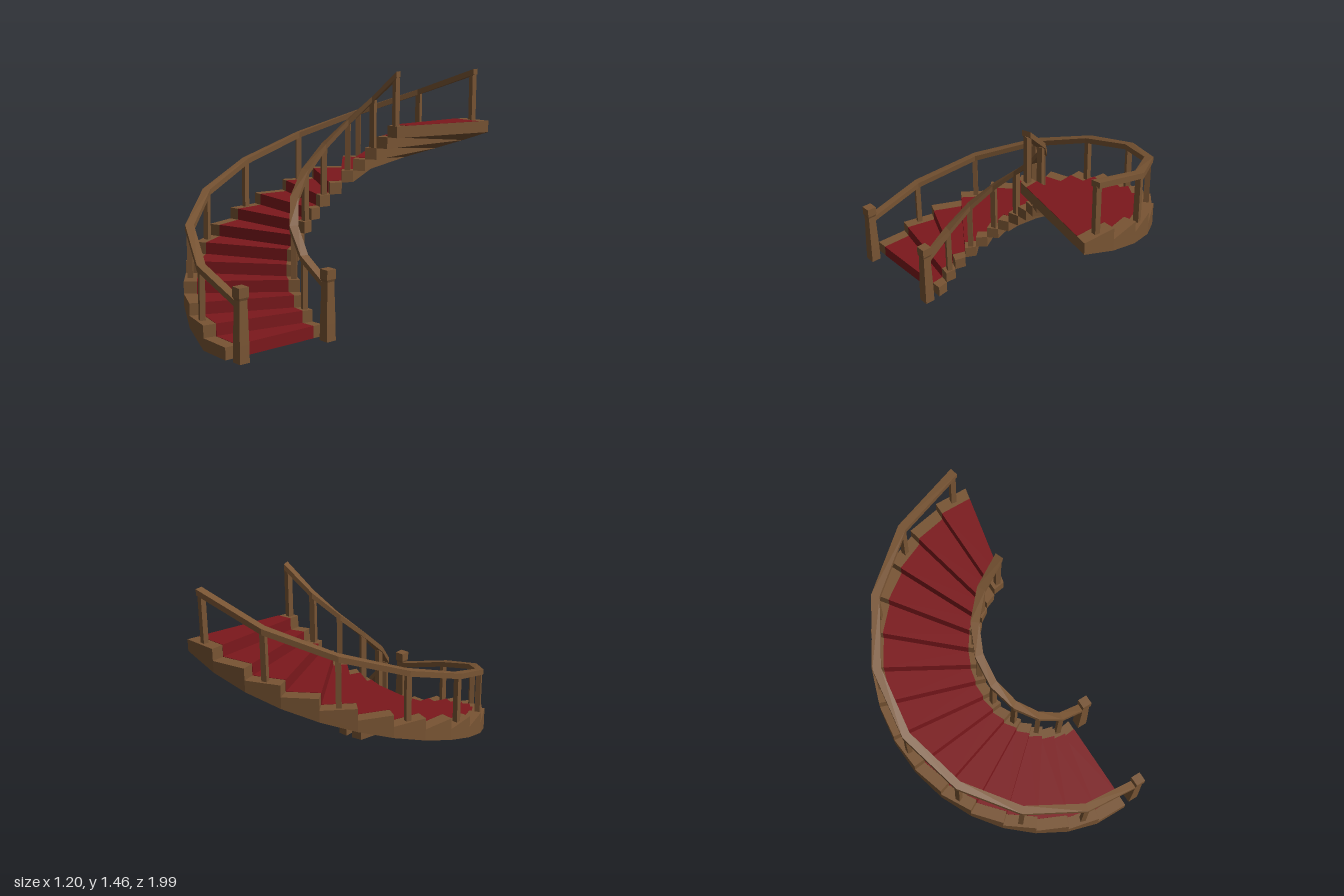
import * as THREE from 'three';

const STEPS = 16, RISE = 1.132 / STEPS, TURN = THREE.MathUtils.degToRad(12);
const CENTRE_X = 0.4, OFFSET = 0.09; // riser lines run parallel to the radius, shifted downhill
const R_IN = 0.33, R_OUT = 0.997;

const wood = new THREE.MeshStandardMaterial({ color: 0x785433 });
wood.name = 'wood';
const carpetRed = new THREE.MeshStandardMaterial({ color: 0x7c181c });
carpetRed.name = 'carpetRed';

// Point on the riser line of turn t (in steps), at distance r along it
function at(t, r, y, off = OFFSET) {
  const a = t * TURN, s = Math.sin(a), c = Math.cos(a);
  return new THREE.Vector3(CENTRE_X - r * s + off * c, y, r * c + off * s);
}

// Flat-faced solid through a series of four-cornered rings
function loft(rings) {
  const p = [];
  const quad = (a, b, c, d) => [a, b, c, a, c, d].forEach((v) => p.push(v.x, v.y, v.z));
  for (let i = 0; i + 1 < rings.length; i++) {
    const a = rings[i], b = rings[i + 1];
    for (let j = 0; j < 4; j++) {
      const k = (j + 1) % 4;
      quad(a[j], a[k], b[k], b[j]);
    }
  }
  const [s, e] = [rings[0], rings[rings.length - 1]];
  quad(s[3], s[2], s[1], s[0]);
  quad(e[0], e[1], e[2], e[3]);
  const g = new THREE.BufferGeometry();
  g.setAttribute('position', new THREE.Float32BufferAttribute(p, 3));
  g.computeVertexNormals();
  return g;
}

function add(parent, name, geometry, material) {
  const mesh = new THREE.Mesh(geometry, material);
  mesh.name = name;
  parent.add(mesh);
  return mesh;
}

// Upright section on a riser line, with its own underside height at each end
const section = (t, r0, r1, y0, y1, top, off) => [
  at(t, r0, y0, off), at(t, r1, y1, off), at(t, r1, top, off), at(t, r0, top, off)];

// Rectangular bar following a polyline, mitred at the corners
function bar(points, width, height) {
  const up = new THREE.Vector3(0, 1, 0);
  const side = (a, b) => up.clone().cross(b.clone().sub(a)).normalize();
  const last = points.length - 1;
  return loft(points.map((p, i) => {
    const s0 = side(points[Math.max(i - 1, 0)], points[Math.max(i, 1)]);
    const s1 = side(points[Math.min(i, last - 1)], points[Math.min(i + 1, last)]);
    const s = s0.clone().add(s1).normalize();
    const w = width / 2 / s.dot(s0), h = height / 2;
    return [[-w, -h], [w, -h], [w, h], [-w, h]].map(([u, v]) =>
      p.clone().addScaledVector(s, u).addScaledVector(up, v));
  }));
}

// Square post with a waist and a block head
function newel(x, z) {
  const profile = [[0, 0.032], [0.1, 0.031], [0.34, 0.025], [0.355, 0.031], [0.41, 0.031]];
  return loft(profile.map(([y, r]) => [[r, -r], [-r, -r], [-r, r], [r, r]].map(
    ([dx, dz]) => new THREE.Vector3(x + dx, y, z + dz))));
}

export function createModel() {
  const model = new THREE.Group();
  model.name = 'curvedStaircase';

  // Steps: flat beneath at the inner end, sloping to a continuous line at the outer end
  const stairs = new THREE.Group();
  stairs.name = 'stairs';
  model.add(stairs);
  for (let i = 0; i < STEPS; i++) {
    const low = i * RISE, top = low + RISE, outerLow = Math.max(0, low - RISE);
    add(stairs, 'step', loft([
      section(i, R_IN, R_OUT, low, outerLow, top),
      section(i + 1, R_IN, R_OUT, low, low, top)]), wood);

    // Carpet runner on the tread and the riser
    const c0 = 0.395, c1 = 0.922, t = 0.002;
    add(stairs, 'carpetTread', loft([
      section(i, c0, c1, top, top, top + t, OFFSET + t),
      section(i + 1, c0, c1, top, top, top + t)]), carpetRed);
    add(stairs, 'carpetRiser', loft([
      section(i, c0, c1, low, low, top, OFFSET + t),
      section(i, c0, c1, low, low, top)]), carpetRed);
  }

  // Balustrades: newel, a baluster on every second step, and the handrail
  for (const [name, r, newelZ] of [['inner', 0.355, 0.355], ['outer', 0.958, 0.95]]) {
    const side = new THREE.Group();
    side.name = name + 'Balustrade';
    model.add(side);
    add(side, 'newelPost', newel(0.568, newelZ), wood);
    const path = [new THREE.Vector3(0.546, 0.32, newelZ)];
    for (let i = 1; i < STEPS; i += 2) {
      const top = (i + 1) * RISE, height = 0.288;
      const foot = at(i + 0.5, r, top);
      const post = add(side, 'baluster', new THREE.BoxGeometry(0.032, height, 0.032), wood);
      post.position.copy(foot).y += height / 2;
      post.rotation.y = -(i + 0.5) * TURN;
      path.push(foot.setY(top + 0.294));
    }
    // Let the rail run just past the top baluster
    const n = path.length - 1;
    const run = path[n].clone().sub(path[n - 1]).normalize();
    path[n].addScaledVector(run, 0.018);
    add(side, 'handrail', bar(path, 0.05, 0.035), wood);
  }
  return model;
}
